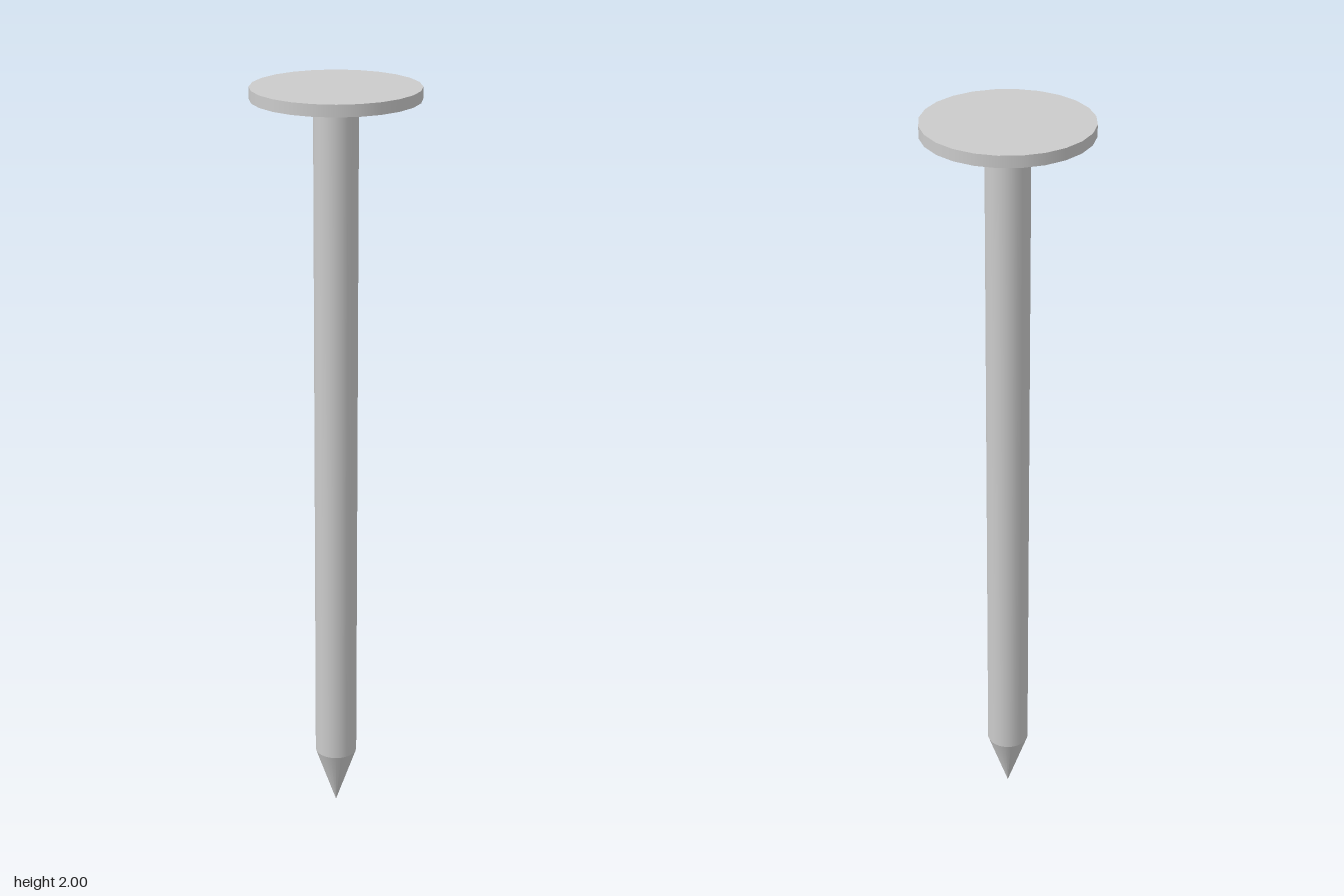
import * as THREE from 'three';

const SIDES = 24;
const TURN = 0.115; // slight twist of the facets about the axis

export function createModel() {
  const model = new THREE.Group();
  model.name = 'nail';
  const material = new THREE.MeshStandardMaterial({ color: 0xcccccc });

  // Round section between two heights
  function addSection(name, topRadius, bottomRadius, bottom, top, open) {
    const geometry = new THREE.CylinderGeometry(
      topRadius, bottomRadius, top - bottom, SIDES, 1, open, TURN);
    const mesh = new THREE.Mesh(geometry, material);
    mesh.name = name;
    mesh.position.y = (bottom + top) / 2;
    model.add(mesh);
  }

  // Flat disc head, straight shank and conical point
  addSection('head', 0.212, 0.212, 1.97, 2, false);
  addSection('shank', 0.056, 0.056, 0.163, 1.97, true);
  addSection('point', 0.056, 0, 0, 0.163, true);

  return model;
}
